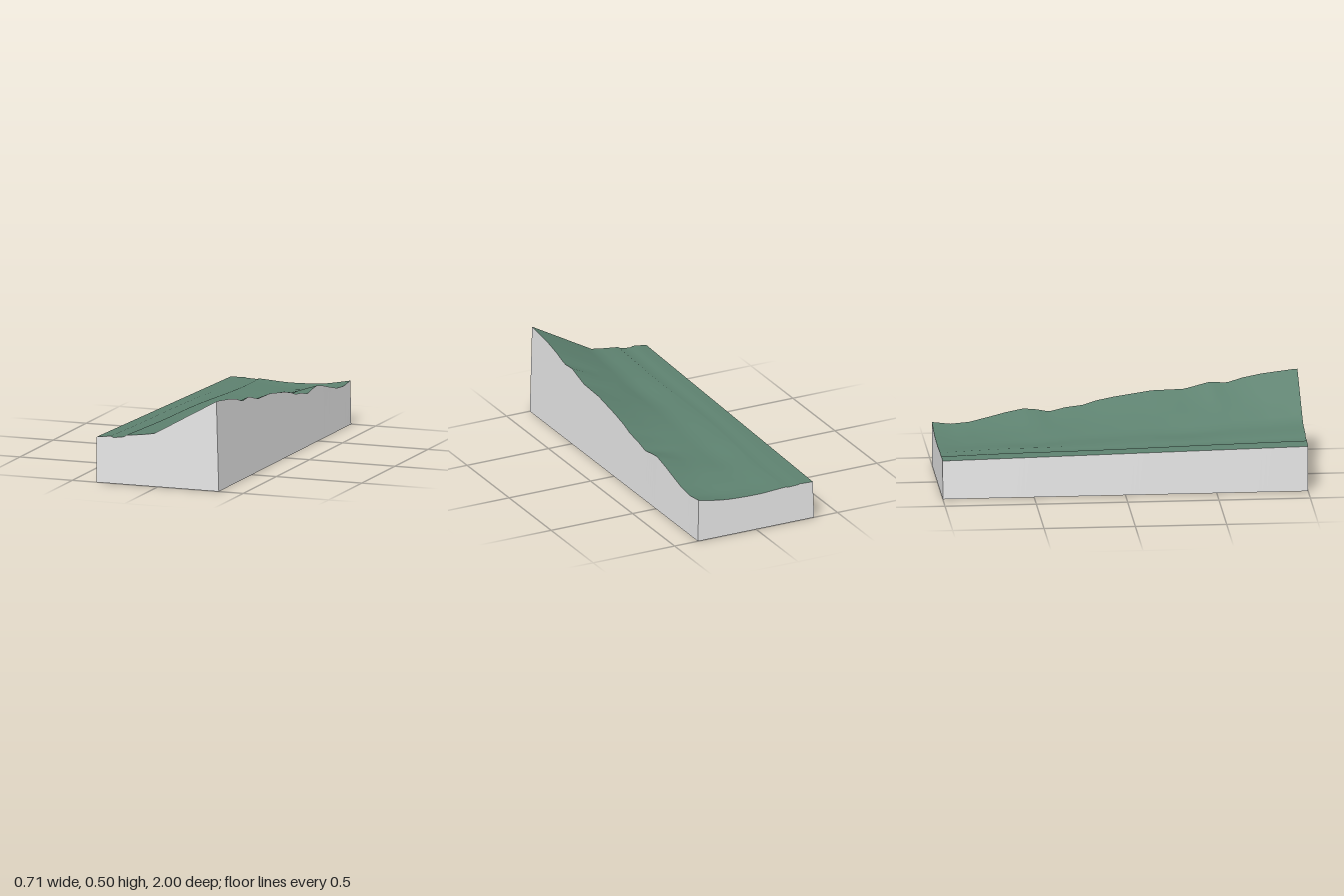
import * as THREE from 'three';

const HALF_WIDTH = 0.357;
const ROWS = 80;

// Cross-sections of the ground: [x, height at the front, height at the back]
const SECTION = [
  [-0.357, 0.253, 0.214], [-0.315, 0.258, 0.215], [-0.275, 0.263, 0.217],
  [-0.26, 0.256, 0.213], [-0.23, 0.260, 0.212], [-0.2, 0.264, 0.211],
  [-0.185, 0.274, 0.215], [-0.115, 0.282, 0.211], [-0.07, 0.288, 0.208],
  [-0.02, 0.296, 0.206], [0.03, 0.324, 0.206], [0.1, 0.361, 0.208],
  [0.16, 0.394, 0.211], [0.22, 0.426, 0.217], [0.29, 0.464, 0.229],
  [0.357, 0.5, 0.242],
];

// Height of the rim along the high side: [z, height]
const RIM = [
  [-1, 0.242], [-0.9, 0.23], [-0.8, 0.238], [-0.7, 0.262], [-0.6, 0.288],
  [-0.5, 0.308], [-0.43, 0.302], [-0.36, 0.288], [-0.27, 0.31], [-0.18, 0.32],
  [-0.1, 0.345], [0, 0.365], [0.2, 0.395], [0.38, 0.4], [0.52, 0.437],
  [0.61, 0.43], [0.7, 0.457], [0.8, 0.477], [0.97, 0.498], [1, 0.5],
];

// Shallow hollows at the foot of the slope: [x, z]
const HOLLOWS = [[-0.04, 0.36], [-0.04, -0.48]];

// How far the rim departs from a straight line between its ends
function rimDeviation(z) {
  let i = 1;
  while (i < RIM.length - 1 && RIM[i][0] < z) i++;
  const [z0, h0] = RIM[i - 1];
  const [z1, h1] = RIM[i];
  return THREE.MathUtils.mapLinear(z, z0, z1, h0, h1) - THREE.MathUtils.lerp(0.242, 0.5, (z + 1) / 2);
}

// The same, evened out over a stretch that shrinks to nothing at the ends
function smoothDeviation(z) {
  const reach = Math.min(0.2, 1 - Math.abs(z));
  let sum = 0;
  for (let k = -4; k <= 4; k++) sum += rimDeviation(z + (reach * k) / 4);
  return sum / 9;
}

// Ground point for a section column at length position z
function groundPoint([x, front, back], z) {
  const t = (z + 1) / 2;
  // the rim's bumps soften and fade down the slope
  const sharpness = THREE.MathUtils.smoothstep(x, 0.1, HALF_WIDTH);
  const deviation = THREE.MathUtils.lerp(smoothDeviation(z), rimDeviation(z), sharpness);
  const share = THREE.MathUtils.smoothstep(x, -0.25, 0.3);
  let y = THREE.MathUtils.lerp(back, front, t) + deviation * share;
  for (const [hx, hz] of HOLLOWS) {
    const d = Math.hypot((x - hx) / 0.16, (z - hz) / 0.25);
    y -= 0.008 * (1 - THREE.MathUtils.smoothstep(d, 0, 1));
  }
  // the low bank meanders, and the long edges lean in slightly
  const bank = Math.max(0, 1 - Math.abs(x + 0.2) / 0.15);
  const meander = 0.018 * Math.sin(t * Math.PI * 3) * (1 - t) * bank;
  const lean = x > 0 ? -0.005 - 0.009 * t : 0.009 * (1 - t);
  const u = Math.abs(x) / HALF_WIDTH;
  return new THREE.Vector3(x + meander + lean * u, y, z);
}

// Upright strip from a line of ground points down to the base
function wall(name, tops, baseOf, material) {
  const positions = [];
  for (let i = 0; i < tops.length - 1; i++) {
    const a = tops[i], b = tops[i + 1];
    const c = baseOf(a, i), d = baseOf(b, i + 1);
    for (const p of [c, d, b, c, b, a]) positions.push(p.x, p.y, p.z);
  }
  const geometry = new THREE.BufferGeometry();
  geometry.setAttribute('position', new THREE.Float32BufferAttribute(positions, 3));
  geometry.computeVertexNormals();
  const mesh = new THREE.Mesh(geometry, material);
  mesh.name = name;
  return mesh;
}

export function createModel() {
  const group = new THREE.Group();
  group.name = 'terrainBlock';
  const grass = new THREE.MeshStandardMaterial({ color: 0x5d816f, side: THREE.DoubleSide });
  grass.name = 'muted green';
  const stone = new THREE.MeshStandardMaterial({ color: 0xe6e6e6, side: THREE.DoubleSide });
  stone.name = 'light grey';

  // Sloping ground surface
  const cols = SECTION.length;
  const ground = new THREE.PlaneGeometry(1, 2, cols - 1, ROWS);
  const grid = [];
  for (let r = 0; r <= ROWS; r++) {
    const z = -1 + (2 * r) / ROWS;
    grid.push(SECTION.map((s) => groundPoint(s, z)));
    grid[r].forEach((p, c) => ground.attributes.position.setXYZ(r * cols + c, p.x, p.y, p.z));
  }
  ground.computeVertexNormals();
  const groundMesh = new THREE.Mesh(ground, grass);
  groundMesh.name = 'ground';
  group.add(groundMesh);

  // Four side walls around an open underside
  const sideBase = (side) => (p) => new THREE.Vector3(side * HALF_WIDTH, 0, p.z);
  const frontLine = grid[ROWS];
  const backLine = [...grid[0]].reverse();
  const plusLine = grid.map((row) => row[cols - 1]).reverse();
  const minusLine = grid.map((row) => row[0]);
  group.add(
    wall('frontWall', frontLine, (p, i) => new THREE.Vector3(SECTION[i][0], 0, 1), stone),
    wall('backWall', backLine, (p, i) => new THREE.Vector3(SECTION[cols - 1 - i][0], 0, -1), stone),
    wall('leftWall', plusLine, sideBase(1), stone),
    wall('rightWall', minusLine, sideBase(-1), stone),
  );
  return group;
}
